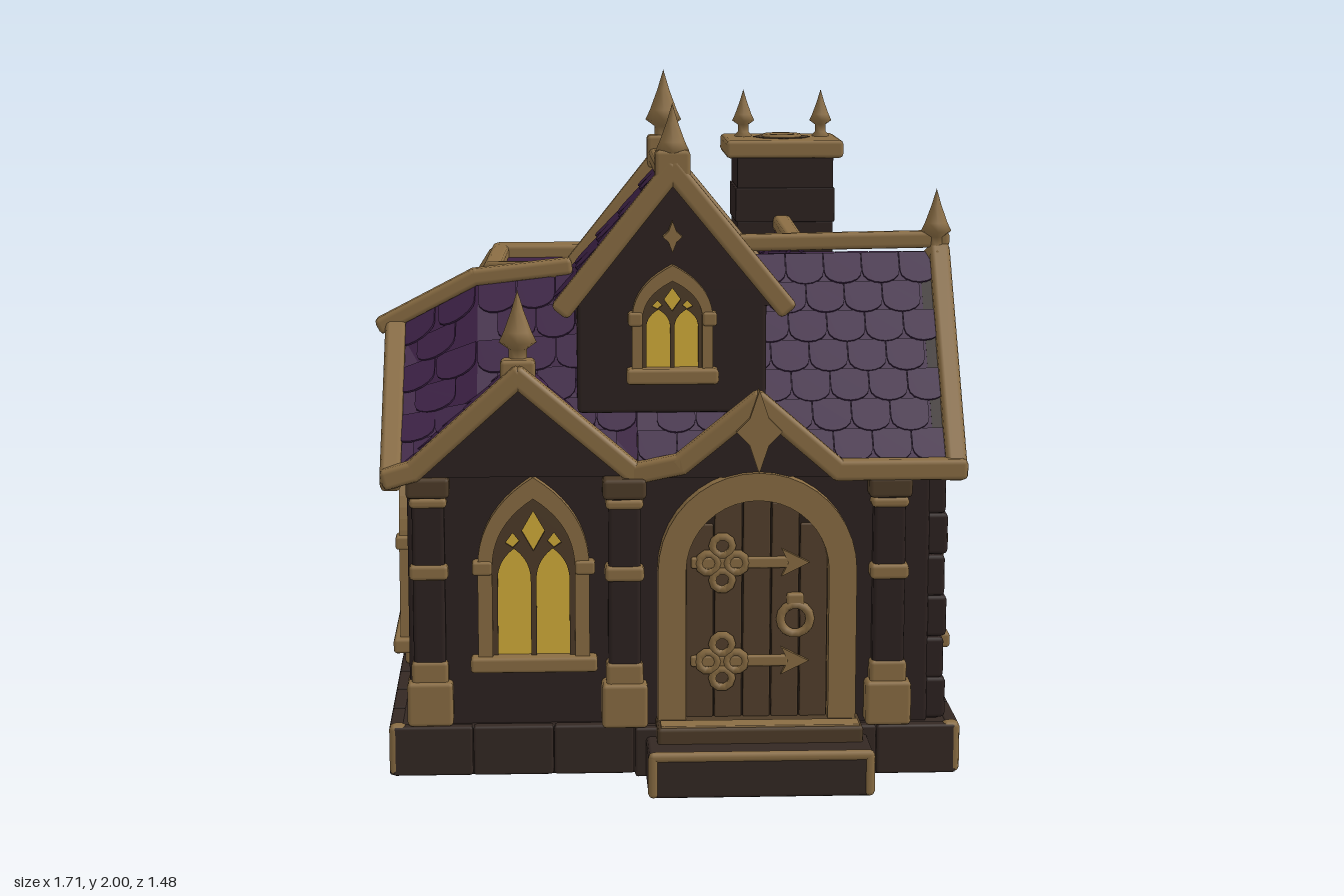
import * as THREE from 'three';
import { mergeGeometries } from 'three/addons/utils/BufferGeometryUtils.js';
import { RoundedBoxGeometry } from 'three/addons/geometries/RoundedBoxGeometry.js';

const mat = (name, color, side = THREE.FrontSide) => {
  const m = new THREE.MeshStandardMaterial({ color, side });
  m.name = name;
  return m;
};
const V = (x, y, z) => new THREE.Vector3(x, y, z);

export function createModel() {
  const root = new THREE.Group();
  const stone = mat('dark stone', 0x2d2220), block = mat('foundation stone', 0x342823);
  const trim = mat('worn gold trim', 0x8a6d43), bronze = mat('dark bronze', 0x4e3c28);
  const roof = mat('purple roof', 0x3d2145, THREE.DoubleSide), tileMat = mat('purple shingle', 0x3c2145);
  const glass = mat('lit glass', 0xd4ae3a), wood = mat('door wood', 0x54402c), seam = mat('door seam', 0x2a1f18);

  const add = (name, geo, m, x = 0, y = 0, z = 0, parent = root) => {
    const mesh = new THREE.Mesh(geo, m);
    mesh.name = name;
    mesh.position.set(x, y, z);
    parent.add(mesh);
    return mesh;
  };
  // Rounded block given by its limits
  const box = (name, m, x0, x1, y0, y1, z0, z1, r = 0.012, parent = root) =>
    add(name, new RoundedBoxGeometry(x1 - x0, y1 - y0, z1 - z0, 1, r), m,
      (x0 + x1) / 2, (y0 + y1) / 2, (z0 + z1) / 2, parent);
  // Trim running through a list of points
  const beams = (name, pts, w = 0.06, h = 0.06) => {
    for (let i = 1; i < pts.length; i++) {
      const [a, b] = [pts[i - 1], pts[i]];
      const mid = a.clone().add(b).multiplyScalar(0.5);
      const m = add(name, new RoundedBoxGeometry(w, h, a.distanceTo(b) + 0.04, 1, 0.014), trim, mid.x, mid.y, mid.z);
      m.lookAt(b);
    }
  };

  // Foundation with rows of separate blocks and gold corners
  box('foundation', block, -0.81, 0.82, 0, 0.147, -0.72, 0.49);
  box('foundation', block, -0.1, 0.82, 0, 0.147, 0.3, 0.53);
  for (let i = 0; i < 7; i++) {
    const x = -0.81 + i * 0.233, front = i < 3 ? 0.465 : 0.5;
    for (const z of [-0.73, front]) box('foundationBlock', block, x, x + 0.231, 0.004, 0.15, z, z + 0.04, 0.008);
  }
  for (let i = 0; i < 6; i++) {
    const z = -0.72 + i * 0.203;
    for (const x of [-0.82, 0.79]) box('foundationBlock', block, x, x + 0.04, 0.004, 0.15, z, z + 0.201, 0.008);
  }
  for (const [x, z] of [[-0.795, -0.705], [0.805, -0.705], [-0.795, 0.48], [0.805, 0.515]])
    box('foundationCorner', trim, x - 0.025, x + 0.025, 0.005, 0.155, z - 0.025, z + 0.025, 0.015);
  box('lowerStep', block, -0.08, 0.56, 0, 0.125, 0.5, 0.735);
  beams('stepEdge', [V(-0.06, 0.12, 0.725), V(0.54, 0.12, 0.725)], 0.03, 0.03);
  for (const x of [-0.066, 0.546]) beams('stepEdge', [V(x, 0.02, 0.725), V(x, 0.11, 0.725)], 0.03, 0.03);
  box('upperStep', bronze, -0.05, 0.54, 0.1, 0.172, 0.45, 0.62);
  box('upperStepTread', trim, -0.04, 0.53, 0.168, 0.176, 0.55, 0.612, 0.003);

  // Walls
  box('walls', stone, -0.76, 0.78, 0.14, 0.92, -0.67, 0.46);
  box('entranceWall', stone, -0.14, 0.74, 0.14, 0.92, 0.3, 0.485);
  box('dormerWalls', stone, -0.27, 0.27, 1.05, 1.42, -0.14, 0.42);
  const polygon = (pts) => new THREE.Shape(pts.map((p) => new THREE.Vector2(p[0], p[1])));
  const gable = (name, pts, x, z, ry = 0) => {
    add(name, new THREE.ExtrudeGeometry(polygon(pts), { depth: 0.03, bevelEnabled: false }), stone, x, 0, z).rotation.y = ry;
  };
  gable('rightGable', [[-0.51, 0.88], [0.25, 0.88], [-0.09, 1.47]], 0.75, 0, Math.PI / 2);
  gable('leftGable', [[-0.25, 0.88], [0.48, 0.88], [0.05, 1.25]], -0.73, 0, -Math.PI / 2);
  gable('backGable', [[-0.83, 0.88], [0.1, 0.88], [-0.38, 1.49]], 0, -0.67, Math.PI);
  gable('backParapet', [[-0.1, 0.88], [0.82, 0.88], [0.52, 1.4], [-0.25, 1.4]], 0, -0.64, Math.PI);
  gable('windowGable', [[-0.8, 0.88], [-0.08, 0.88], [-0.44, 1.17]], 0, 0.455);
  gable('doorGable', [[-0.04, 0.88], [0.52, 0.88], [0.24, 1.1]], 0, 0.485);
  for (const z of [0.39, -0.15]) gable('dormerGable', [[-0.3, 1.36], [0.3, 1.36], [0, 1.73]], 0, z);

  // Rounded shingle, hung from its upper edge
  const tileShape = new THREE.Shape();
  tileShape.moveTo(-0.5, 0);
  tileShape.lineTo(-0.5, -0.8);
  tileShape.absarc(0, -0.8, 0.5, Math.PI, Math.PI * 2, false);
  tileShape.lineTo(0.5, 0);
  const tileGeo = new THREE.ExtrudeGeometry(tileShape, { depth: 1, bevelEnabled: false, curveSegments: 4 });

  // Roof slope: ridge from a to b, eave from c to d, covered in shingles
  const slope = (a, b, c, d) => {
    const g = new THREE.BufferGeometry();
    g.setAttribute('position', new THREE.BufferAttribute(new Float32Array([a, c, d, a, d, b].flatMap((p) => p.toArray())), 3));
    g.computeVertexNormals();
    add('roofSlope', g, roof);
    const at = (s, t) => a.clone().lerp(b, s).lerp(c.clone().lerp(d, s), t);
    const width = at(0, 0.5).distanceTo(at(1, 0.5)), drop = at(0.5, 0).distanceTo(at(0.5, 1));
    const cols = Math.max(2, Math.round(width / 0.11)), rows = Math.max(2, Math.round(drop / 0.1));
    const tiles = [];
    for (let r = 0; r < rows; r++) for (let k = 0; k < cols - (r % 2); k++) {
      const s = (k + 0.5 + (r % 2) * 0.5) / cols, t = r / rows;
      const u = at(1, t).sub(at(0, t)).normalize(), v = at(s, 1).sub(at(s, 0)).normalize();
      let n = u.clone().cross(v).negate().normalize();
      if (n.y < 0) { n.negate(); u.negate(); }
      const down = v.clone().addScaledVector(n, 0.05 + 0.03 * ((k * 7 + r * 3) % 4) / 4).normalize();
      n = u.clone().cross(down).negate().normalize();
      const m = new THREE.Matrix4().makeBasis(u.multiplyScalar(width / cols * 0.98),
        down.clone().multiplyScalar(-drop / rows * 0.84), n.multiplyScalar(0.007));
      m.setPosition(at(s, t));
      tiles.push(tileGeo.clone().applyMatrix4(m));
    }
    add('shingles', mergeGeometries(tiles), tileMat);
  };

  // Main roof, right half and rear wing
  slope(V(-0.1, 1.46, 0.09), V(0.8, 1.47, 0.09), V(-0.1, 0.92, 0.48), V(0.8, 0.92, 0.48));
  slope(V(0.3, 1.47, 0.09), V(0.8, 1.47, 0.09), V(0.3, 0.9, -0.26), V(0.8, 0.9, -0.26));
  slope(V(0.38, 1.49, 0.09), V(0.38, 1.5, -0.7), V(0.82, 0.92, -0.25), V(0.82, 0.92, -0.7));
  slope(V(0.38, 1.49, 0.09), V(0.38, 1.5, -0.7), V(-0.1, 0.91, 0.09), V(-0.1, 0.91, -0.7));
  // Left half with its sagging ridge
  const sag = [V(-0.8, 1.25, 0.05), V(-0.56, 1.38, 0.05), V(-0.1, 1.43, 0.07)];
  for (let i = 0; i < 2; i++) for (const z of [0.455, -0.25])
    slope(sag[i], sag[i + 1], V(sag[i].x, 0.91, z), V(sag[i + 1].x, 0.91, z));
  slope(V(-0.52, 1.38, -0.02), V(-0.52, 1.38, -0.66), V(-0.82, 0.9, -0.25), V(-0.82, 0.9, -0.68));
  box('flatRoof', roof, -0.53, 0.28, 1.3, 1.385, -0.64, 0.06);
  // Small front gables and the dormer
  for (const x of [-0.8, -0.08]) slope(V(-0.44, 1.17, 0.48), V(-0.44, 1.17, 0.2), V(x, 0.88, 0.48), V(x, 0.88, 0.2));
  for (const x of [-0.02, 0.5]) slope(V(0.24, 1.1, 0.51), V(0.24, 1.1, 0.28), V(x, 0.89, 0.51), V(x, 0.89, 0.28));
  for (const x of [-0.32, 0.32]) slope(V(0, 1.73, 0.44), V(0, 1.73, -0.16), V(x, 1.35, 0.44), V(x, 1.35, -0.16));

  // Gold edges and ridges
  beams('frontEdge', [V(-0.81, 0.88, 0.485), V(-0.74, 0.9, 0.485), V(-0.44, 1.17, 0.49), V(-0.11, 0.89, 0.495),
    V(0.02, 0.92, 0.515), V(0.24, 1.1, 0.525), V(0.47, 0.9, 0.515), V(0.82, 0.9, 0.515)]);
  beams('rightEdge', [V(0.81, 0.89, 0.51), V(0.81, 1.47, 0.09), V(0.81, 0.9, -0.25), V(0.81, 0.91, -0.69)]);
  beams('leftEdge', [V(-0.805, 0.87, 0.48), V(-0.805, 1.26, 0.05), V(-0.805, 0.89, -0.25), V(-0.805, 0.89, -0.68)]);
  beams('backEdge', [V(0.81, 0.92, -0.7), V(0.38, 1.51, -0.7), V(-0.1, 0.91, -0.7)]);
  beams('backLeftEdge', [V(-0.82, 0.9, -0.68), V(-0.52, 1.38, -0.65)], 0.05, 0.05);
  beams('flatRoofBackEdge', [V(0.13, 1.4, -0.59), V(-0.5, 1.4, -0.6)], 0.1, 0.05);
  beams('flatRoofSideEdge', [V(-0.5, 1.4, -0.61), V(-0.52, 1.39, -0.2), V(-0.33, 1.42, 0.05)], 0.055, 0.05);
  beams('leftRidge', [V(-0.84, 1.26, 0.05), V(-0.57, 1.4, 0.05), V(-0.3, 1.43, 0.05)], 0.065, 0.05);
  beams('rightRidge', [V(0.22, 1.5, 0.07), V(0.82, 1.51, 0.08)], 0.05, 0.05);
  beams('wingRidge', [V(0.38, 1.5, 0.06), V(0.38, 1.52, -0.7)], 0.055, 0.05);
  beams('dormerRidge', [V(0, 1.74, 0.42), V(0, 1.74, -0.15)], 0.09, 0.05);
  for (const z of [0.44, -0.15]) beams('dormerEdge', [V(-0.31, 1.36, z), V(0, 1.75, z), V(0.32, 1.36, z)], 0.055, 0.06);

  // Pointed finials
  const profile = [[0.035, 0], [0.042, 0.03], [0.026, 0.045], [0.026, 0.08], [0.054, 0.1], [0.04, 0.13], [0.018, 0.19], [0, 0.25]];
  const finial = (x, y, z, s = 1) => {
    const g = new THREE.LatheGeometry(profile.map((p) => new THREE.Vector2(p[0], p[1])), 8);
    add('finial', g, trim, x, y, z).scale.setScalar(s);
  };
  finial(-0.44, 1.16, 0.43); finial(0, 1.71, 0.42, 0.9); finial(0, 1.75, -0.15);
  finial(0.8, 1.45, 0.09, 0.84);
  for (const [x, y, z] of [[0, 1.755, 0.43], [0, 1.755, -0.15], [-0.44, 1.165, 0.45], [0.38, 1.5, -0.7]])
    box('ridgeBlock', trim, x - 0.05, x + 0.05, y - 0.05, y + 0.05, z - 0.035, z + 0.035);

  // Chimney in courses, with cap and flue
  for (let i = 0; i < 5; i++) {
    const e = i % 2 * 0.005;
    box('chimneyCourse', stone, 0.24 - e, 0.54 + e, 1.2 + i * 0.105, 1.306 + i * 0.105, -0.62 - e, -0.36 + e, 0.004);
  }
  box('chimneyCap', trim, 0.205, 0.57, 1.715, 1.77, -0.655, -0.34);
  const flue = add('chimneyFlue', new THREE.TorusGeometry(0.05, 0.018, 6, 10), trim, 0.39, 1.765, -0.5);
  flue.rotation.x = Math.PI / 2;
  add('flueSurround', new THREE.CylinderGeometry(0.09, 0.09, 0.008, 8), bronze, 0.39, 1.768, -0.5);
  for (const x of [0.27, 0.515]) finial(x, 1.755, -0.53, 0.65);

  // Pointed arch outline
  const arch = (w, h, spring, cx = 0, y = 0) => {
    const s = new THREE.Shape(), k = y + spring + (h - spring) * 0.62;
    s.moveTo(cx - w, y);
    s.lineTo(cx + w, y);
    s.lineTo(cx + w, y + spring);
    s.quadraticCurveTo(cx + w, k, cx, y + h);
    s.quadraticCurveTo(cx - w, k, cx - w, y + spring);
    return s;
  };
  const plate = (shape, depth) => new THREE.ExtrudeGeometry(shape, { depth, bevelEnabled: false, curveSegments: 10 });
  const windowAt = (w, h, x, y, z, ry = 0) => {
    const g = new THREE.Group();
    g.name = 'archedWindow';
    g.position.set(x, y, z);
    g.rotation.y = ry;
    const f = w * 0.13, iw = w / 2 - f, ih = h - f * 1.5, sp = h * 0.52;
    const frame = arch(w / 2, h, sp);
    frame.holes.push(arch(iw, ih, sp));
    add('windowFrame', plate(frame, 0.04), trim, 0, 0, 0, g);
    add('windowGlass', new THREE.ShapeGeometry(arch(iw, ih, sp)), glass, 0, 0, 0.008, g);
    const tracery = arch(iw * 1.02, ih * 1.01, sp);
    for (const s of [-1, 1]) tracery.holes.push(arch(iw * 0.4, ih * 0.65, ih * 0.46, s * iw * 0.47, h * 0.04));
    const dy = ih * 0.8, dw = iw * 0.28, dh = ih * 0.12;
    tracery.holes.push(polygon([[0, dy - dh], [dw, dy], [0, dy + dh], [-dw, dy]]));
    for (const s of [-1, 1]) tracery.holes.push(polygon([[s * iw * 0.5, ih * 0.7], [s * iw * 0.68, ih * 0.73], [s * iw * 0.5, ih * 0.79], [s * iw * 0.34, ih * 0.74]]));
    add('windowTracery', plate(tracery, 0.012), bronze, 0, 0, 0.01, g);
    box('windowSill', trim, -w * 0.57, w * 0.57, -0.02, 0.025, 0, 0.06, 0.01, g);
    for (const s of [-1, 1]) box('windowImpost', trim, s * w * 0.46 - w * 0.09, s * w * 0.46 + w * 0.09, sp - 0.02, sp + 0.02, 0, 0.05, 0.008, g);
    root.add(g);
  };
  windowAt(0.32, 0.55, -0.4, 0.33, 0.455);
  windowAt(0.23, 0.32, 0, 1.16, 0.415);
  for (const [x, ry] of [[0.775, Math.PI / 2], [-0.755, -Math.PI / 2]]) {
    windowAt(0.38, 0.6, x, 0.33, 0.07, ry);
    windowAt(0.22, 0.42, x, 0.36, -0.42, ry);
  }

  // Four-pointed stars on the gables
  const star = (x, y, z, w, h, ry = 0) => {
    const a = w * 0.42, b = h * 0.32;
    const pts = [[0, h], [a, b], [w, 0], [a, -b], [0, -h], [-a, -b], [-w, 0], [-a, b]];
    add('gableStar', plate(polygon(pts), 0.04), trim, x, y, z).rotation.y = ry;
  };
  star(0.24, 1.02, 0.53, 0.065, 0.12);
  star(0, 1.56, 0.41, 0.028, 0.045);
  star(0.77, 1.11, 0.08, 0.055, 0.13, Math.PI / 2);
  star(-0.75, 1.06, 0.06, 0.04, 0.08, -Math.PI / 2);

  // Pillars: pedestal, shaft, band and capital
  for (const [x, z] of [[-0.14, 0.48], [0.62, 0.48], [-0.7, 0.44], [0.76, -0.245], [-0.74, -0.245], [-0.72, -0.62]]) {
    const level = (name, m, r, y0, y1) => box(name, m, x - r, x + r, y0, y1, z - r, z + r);
    level('pillarPedestal', trim, 0.066, 0.15, 0.28);
    level('pillarFoot', trim, 0.053, 0.27, 0.34);
    level('pillarShaft', stone, 0.046, 0.32, 0.84);
    level('pillarBand', trim, 0.056, 0.58, 0.625);
    level('pillarCollar', trim, 0.054, 0.79, 0.82);
    level('pillarCapital', bronze, 0.062, 0.82, 0.88);
  }

  // Stone quoins on the bare corners, with a small gold foot at the rear
  for (const [x, z] of [[0.745, 0.43], [0.745, -0.635]]) for (let i = 0; i < 6; i++) {
    const y = 0.15 + i * 0.122, [rx, rz] = i % 2 ? [0.042, 0.05] : [0.05, 0.042];
    box('cornerQuoin', stone, x - rx, x + rx, y, y + 0.121, z - rz, z + rz);
  }
  box('cornerFoot', trim, 0.74, 0.805, 0.15, 0.28, -0.69, -0.63);

  // Door: round arch, planks, hinges and ring
  const door = new THREE.Group();
  door.name = 'door';
  door.position.set(0.24, 0, 0.485);
  root.add(door);
  const round = (r) => {
    const s = new THREE.Shape();
    s.moveTo(-r, 0.15);
    s.lineTo(r, 0.15);
    s.absarc(0, 0.61, r, 0, Math.PI, false);
    return s;
  };
  const surround = round(0.285);
  surround.holes.push(round(0.205));
  add('doorFrame', plate(surround, 0.05), trim, 0, 0, 0, door);
  add('doorBacking', plate(round(0.21), 0.008), seam, 0, 0, 0, door);
  for (let i = 0; i < 5; i++) {
    const x = (i - 2) * 0.082;
    box('doorPlank', wood, x - 0.039, x + 0.039, 0.17, 0.61 + Math.sqrt(0.21 ** 2 - x * x), 0, 0.02, 0.005, door);
  }
  for (const y of [0.34, 0.63]) {
    box('hingeStrap', trim, -0.19, 0.09, y - 0.016, y + 0.016, 0.015, 0.035, 0.006, door);
    add('hingeTip', plate(polygon([[0.07, y - 0.04], [0.15, y], [0.07, y + 0.04], [0.09, y]]), 0.015), trim, 0, 0, 0.02, door);
    for (const [dx, dy] of [[0, 0.05], [0, -0.05], [0.04, 0], [-0.04, 0]])
      add('hingeRing', new THREE.TorusGeometry(0.028, 0.012, 5, 10), trim, -0.1 + dx, y + dy, 0.03, door);
  }
  add('doorRing', new THREE.TorusGeometry(0.043, 0.013, 6, 14), trim, 0.11, 0.465, 0.035, door);
  box('ringMount', trim, 0.085, 0.135, 0.5, 0.54, 0.015, 0.045, 0.008, door);
  return root;
}
